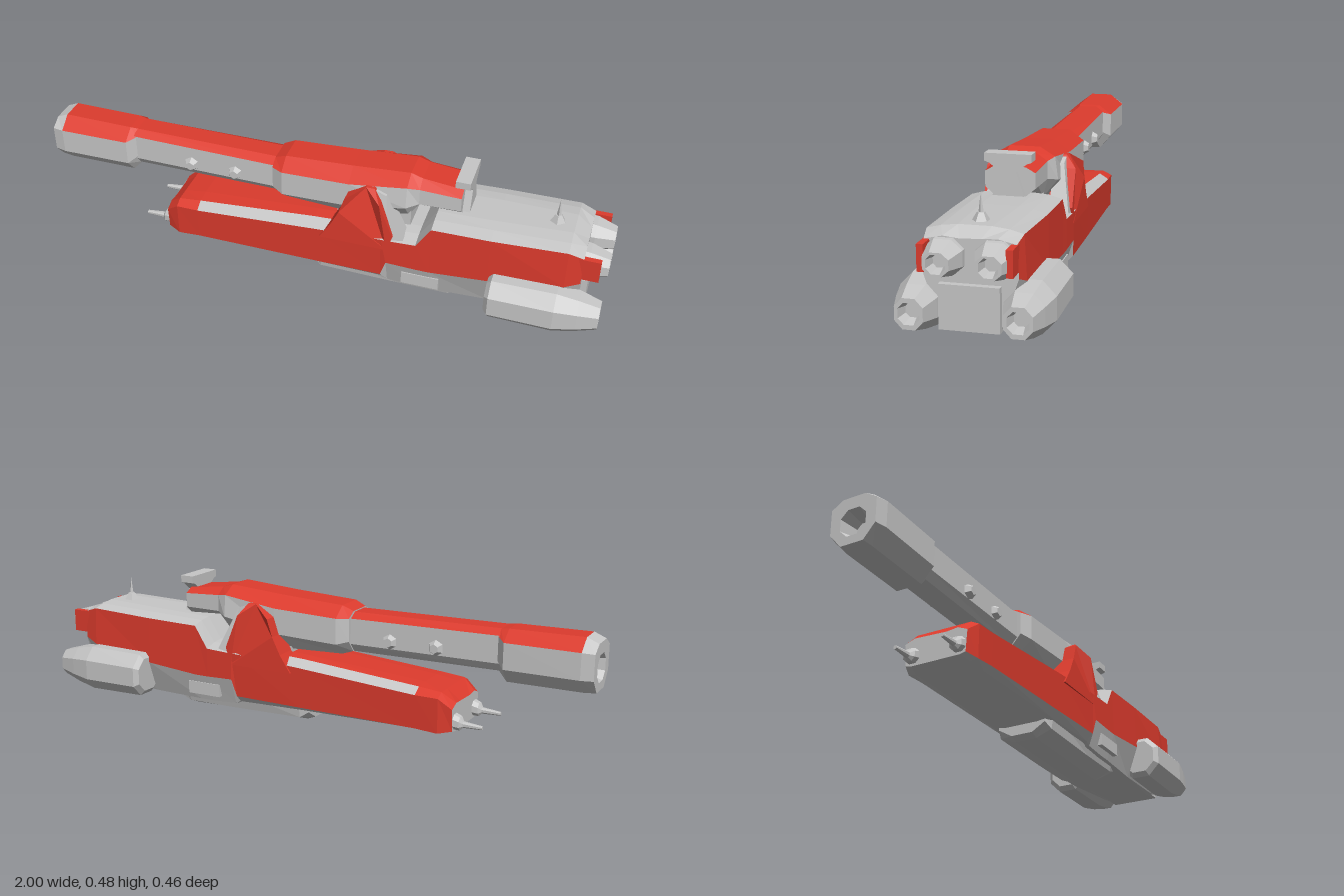
import * as THREE from 'three';

const mat = (name, color) => {
  const m = new THREE.MeshStandardMaterial({ color });
  m.name = name;
  return m;
};

export function createModel() {
  const grey = mat('hull grey', 0xc6c6c6), red = mat('hull red', 0xdc3b2d);
  const ship = new THREE.Group();
  ship.name = 'spaceship';

  const add = (name, geo, material, x = 0, y = 0, z = 0) => {
    const g = geo.index ? geo.toNonIndexed() : geo;
    g.computeVertexNormals();
    const mesh = new THREE.Mesh(g, material);
    mesh.name = name;
    mesh.position.set(x, y, z);
    ship.add(mesh);
    return mesh;
  };

  // Faceted loft along x. Each section is { x, p: [[z, y], ...], c } with p running down
  // the +z half; c colours the band after it: top, each side strip, bottom (r or g).
  function loft(name, sections, z = 0, startCap = 'g') {
    const tris = { r: [], g: [] };
    const rings = sections.map(({ x, p }) => [
      ...p.map(([w, y]) => [x, y, w]),
      ...[...p].reverse().map(([w, y]) => [x, y, -w])]);
    const m = rings[0].length, n = m / 2;
    let c = 'g'.repeat(n + 1);
    for (let s = 0; s < rings.length - 1; s++) {
      c = sections[s].c || c;
      const A = rings[s], B = rings[s + 1];
      for (let i = 0; i < m; i++) {
        const j = (i + 1) % m;
        const strip = i < n ? i + 1 : m - 1 - i;
        tris[c[strip]].push(A[i], A[j], B[j], A[i], B[j], B[i]);
      }
    }
    const first = rings[0], last = rings[rings.length - 1];
    for (let i = 1; i < m - 1; i++) {
      tris[startCap].push(first[0], first[i + 1], first[i]);
      tris.g.push(last[0], last[i], last[i + 1]);
    }
    const geo = new THREE.BufferGeometry();
    geo.setAttribute('position', new THREE.Float32BufferAttribute([...tris.r, ...tris.g].flat(), 3));
    geo.addGroup(0, tris.r.length, 0);
    geo.addGroup(tris.r.length, tris.g.length, 1);
    return add(name, geo, [red, grey], 0, 0, z);
  }
  const oct = (x, y, rz, ry = rz) => ({
    x, p: [[rz * 0.45, y + ry], [rz, y + ry * 0.45], [rz, y - ry * 0.45], [rz * 0.45, y - ry]],
  });

  // Upper boom: hollow muzzle, pod, slim middle and broad rear
  const painted = 'rrggg';
  loft('boomPod', [
    { ...oct(-0.94, 0.325, 0.03) }, { ...oct(-1, 0.325, 0.045) },
    { x: -1, p: [[0.04, 0.41], [0.08, 0.385], [0.08, 0.3], [0.04, 0.252]] },
    { x: -0.96, p: [[0.04, 0.427], [0.09, 0.388], [0.09, 0.3], [0.045, 0.25]], c: painted },
    { x: -0.71, p: [[0.04, 0.424], [0.088, 0.388], [0.088, 0.3], [0.045, 0.25]] },
    { x: -0.68, p: [[0.035, 0.42], [0.058, 0.4], [0.058, 0.32], [0.035, 0.28]] },
  ]);
  loft('boomMiddle', [
    { x: -0.72, p: [[0.035, 0.421], [0.06, 0.402], [0.06, 0.31], [0.04, 0.282]], c: painted },
    { x: -0.13, p: [[0.035, 0.416], [0.066, 0.398], [0.066, 0.31], [0.04, 0.28]] },
  ]);
  loft('boomRear', [
    { x: -0.16, p: [[0.045, 0.42], [0.08, 0.4], [0.08, 0.32], [0.045, 0.28]], c: painted },
    { x: -0.12, p: [[0.05, 0.437], [0.1, 0.4], [0.1, 0.31], [0.05, 0.267]] },
    { x: 0.12, p: [[0.05, 0.45], [0.105, 0.41], [0.105, 0.32], [0.06, 0.262]] },
    { x: 0.32, p: [[0.05, 0.465], [0.1, 0.435], [0.11, 0.36], [0.06, 0.3]] },
    { x: 0.36, p: [[0.05, 0.452], [0.085, 0.428], [0.085, 0.37], [0.05, 0.352]] },
    { x: 0.5, p: [[0.05, 0.437], [0.08, 0.42], [0.08, 0.37], [0.05, 0.345]] },
  ]);
  add('boomStrut', new THREE.BoxGeometry(0.26, 0.14, 0.13), grey, 0.2, 0.27, 0);

  // Main hull with red flanks and grey shoulder strips
  const front = 'rrgrggg', rear = 'gggrggg';
  loft('mainHull', [
    { x: -0.555, p: [[0.04, 0.16], [0.08, 0.165], [0.115, 0.15], [0.11, 0.075], [0.09, 0.07], [0.04, 0.07]], c: 'rrrrggg' },
    { x: -0.51, p: [[0.05, 0.2], [0.1, 0.2], [0.13, 0.185], [0.128, 0.066], [0.1, 0.062], [0.05, 0.062]] },
    { x: -0.43, p: [[0.05, 0.212], [0.1, 0.208], [0.133, 0.187], [0.13, 0.072], [0.1, 0.062], [0.05, 0.06]], c: front },
    { x: 0, p: [[0.06, 0.248], [0.1, 0.243], [0.143, 0.222], [0.14, 0.08], [0.11, 0.062], [0.06, 0.055]] },
    { x: 0.25, p: [[0.06, 0.26], [0.1, 0.255], [0.15, 0.24], [0.145, 0.085], [0.12, 0.06], [0.08, 0.05]], c: rear },
    { x: 0.27, p: [[0.06, 0.26], [0.1, 0.255], [0.15, 0.24], [0.15, 0.145], [0.12, 0.05], [0.08, 0.045]] },
    { x: 0.37, p: [[0.06, 0.262], [0.1, 0.258], [0.15, 0.245], [0.15, 0.142], [0.12, 0.045], [0.08, 0.04]], c: 'gggrggg' },
    { x: 0.42, p: [[0.06, 0.338], [0.105, 0.334], [0.148, 0.322], [0.15, 0.142], [0.12, 0.045], [0.08, 0.04]], c: rear },
    { x: 0.62, p: [[0.06, 0.345], [0.105, 0.34], [0.15, 0.327], [0.152, 0.16], [0.11, 0.045], [0.08, 0.04]] },
    { x: 0.87, p: [[0.05, 0.352], [0.1, 0.346], [0.143, 0.335], [0.15, 0.2], [0.095, 0.06], [0.08, 0.055]] },
    { x: 0.92, p: [[0.03, 0.325], [0.08, 0.33], [0.135, 0.318], [0.14, 0.22], [0.09, 0.07], [0.08, 0.06]] },
  ]);
  add('sternBlock', new THREE.BoxGeometry(0.3, 0.135, 0.18), grey, 0.79, 0.128, 0);

  // Belly keel
  loft('bellyKeel', [
    { x: -0.01, p: [[0.09, 0.09], [0.09, 0.05], [0.04, 0.02]] },
    { x: 0.02, p: [[0.11, 0.09], [0.1, 0.03], [0.04, 0.008]] },
    { x: 0.3, p: [[0.12, 0.1], [0.1, 0.025], [0.04, 0.004]] },
    { x: 0.48, p: [[0.12, 0.1], [0.1, 0.025], [0.04, 0]] },
    { x: 0.54, p: [[0.1, 0.1], [0.09, 0.045], [0.035, 0.03]] },
  ]);

  // Bridge: flared head on a narrow neck
  const bridge = new THREE.Shape([[-0.075, 0.482], [-0.075, 0.457], [-0.06, 0.452], [-0.025, 0.425],
    [-0.05, 0.35], [0.05, 0.35], [0.025, 0.425], [0.06, 0.452], [0.075, 0.457], [0.075, 0.482]]
    .map(([x, y]) => new THREE.Vector2(x, y)));
  add('bridge', new THREE.ExtrudeGeometry(bridge, { depth: 0.05, bevelEnabled: false })
    .rotateY(Math.PI / 2), grey, 0.475);

  // Antenna mast
  add('antennaBase', new THREE.CylinderGeometry(0.012, 0.03, 0.03, 5), grey, 0.81, 0.36, 0);
  add('antenna', new THREE.ConeGeometry(0.01, 0.08, 4), grey, 0.81, 0.396, 0);

  // Side pylon in profile, its upper outer edge leaning inwards
  function pylon(points, side, z0, z1) {
    const shape = new THREE.Shape(points.map(([x, y]) => new THREE.Vector2(x, y)));
    const g = new THREE.ExtrudeGeometry(shape, { depth: z1 - z0, bevelEnabled: false });
    g.translate(0, 0, side > 0 ? z0 : -z1);
    const p = g.attributes.position;
    for (let i = 0; i < p.count; i++) {
      if (p.getY(i) > 0.4 && Math.abs(p.getZ(i)) > 0.12) p.setZ(i, side * 0.115);
    }
    return g;
  }

  for (const s of [1, -1]) {
    const tag = s > 0 ? 'Front' : 'Back';
    add('pylon' + tag, pylon([[0.03, 0.2], [0.27, 0.2], [0.29, 0.26], [0.24, 0.38], [0.215, 0.42],
      [0.185, 0.42], [0.12, 0.38], [0.1, 0.32], [0.07, 0.26]], s, 0.07, 0.15), red);
    add('pylonBrace' + tag, pylon([[0.27, 0.24], [0.325, 0.25], [0.255, 0.4], [0.215, 0.415]], s, 0.08, 0.145), grey);

    // Lower engine nacelle with hollow nozzle
    loft('nacelle' + tag, [oct(0.625, 0.12, 0.06), oct(0.64, 0.12, 0.075, 0.077), oct(0.855, 0.12, 0.075, 0.08),
      oct(0.93, 0.12, 0.06, 0.065), oct(0.998, 0.12, 0.042, 0.046), oct(0.998, 0.12, 0.032),
      oct(0.96, 0.12, 0.022)], s * 0.157);
    // Upper engine
    loft('upperEngine' + tag, [oct(0.86, 0.27, 0.062), oct(0.935, 0.272, 0.058, 0.052),
      oct(1, 0.27, 0.038, 0.034), oct(1, 0.27, 0.028), oct(0.96, 0.27, 0.02)], s * 0.075);
    add('engineFairing' + tag, new THREE.BoxGeometry(0.08, 0.08, 0.02), red, 0.935, 0.278, s * 0.128);

    // Nose prongs
    loft('noseProng' + tag, [oct(-0.65, 0.095, 0.006), oct(-0.585, 0.097, 0.01),
      oct(-0.575, 0.1, 0.022), oct(-0.53, 0.11, 0.03)], s * 0.085);

    // Boom ports and flank blister
    for (const x of [-0.47, -0.305]) {
      add('boomPort' + tag, new THREE.CylinderGeometry(0.016, 0.03, 0.024, 6)
        .rotateX(s * Math.PI / 2), grey, x, 0.335, s * 0.07);
    }
    add('flankBlister' + tag, new THREE.BoxGeometry(0.13, 0.045, 0.05), grey, 0.39, 0.092, s * 0.12);
  }
  return ship;
}
